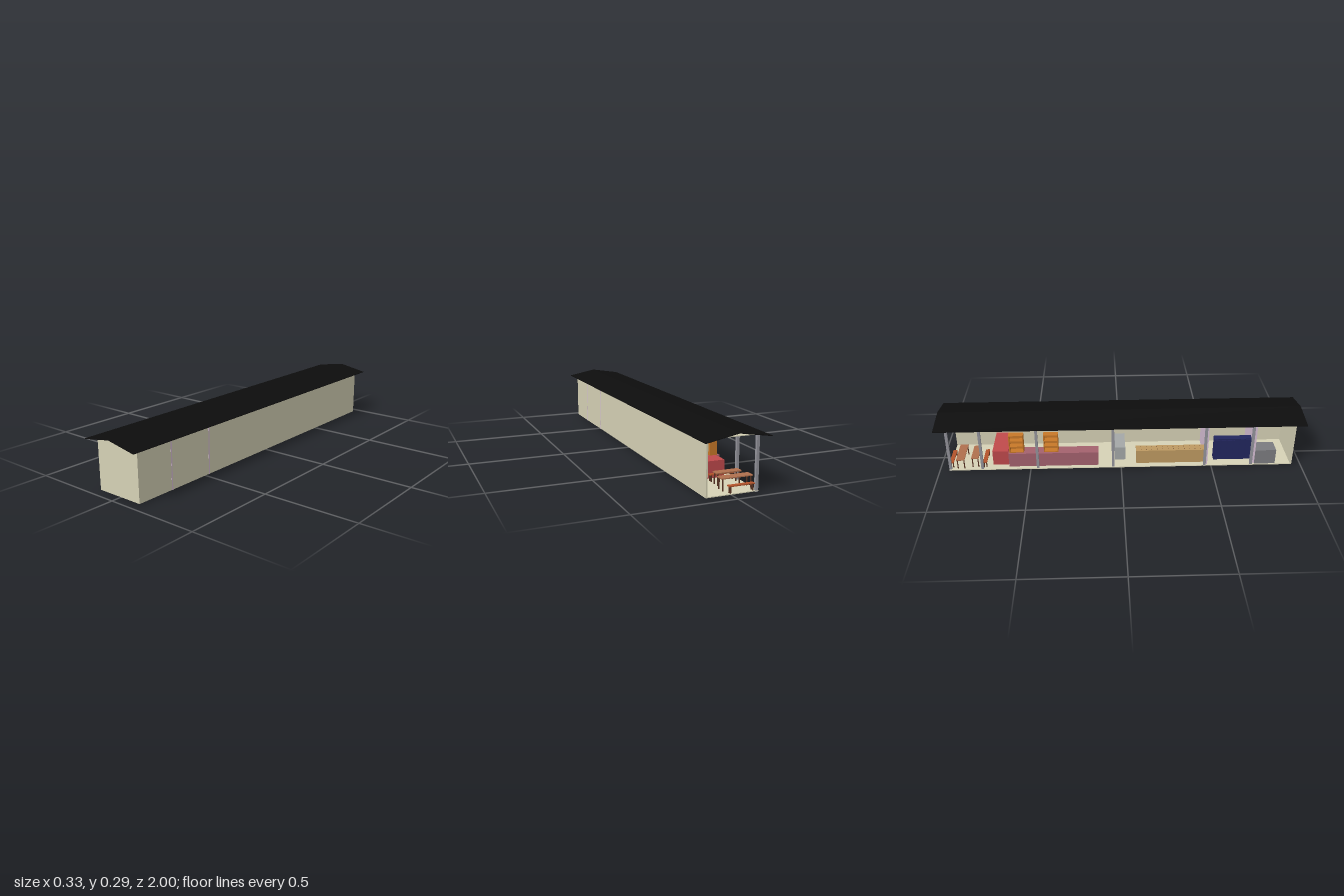
import * as THREE from 'three';

const COLORS = {
  wall: 0xd6d2b6, roof: 0x0d0d0d, post: 0x94949c, partition: 0xd8c0d6, rose: 0xa4626e,
  red: 0xc04a4c, shelf: 0xc87828, grey: 0xa4a8a8, darkGrey: 0x7c7c80, tan: 0xbe9a62,
  blue: 0x22265e, table: 0xb0704e, bench: 0xb4532a, leg: 0x5a3424,
};
const materials = {};
for (const key in COLORS) materials[key] = new THREE.MeshStandardMaterial({ color: COLORS[key] });

// Box given by its extents along each axis
function box(parent, name, color, [x0, x1], [y0, y1], [z0, z1]) {
  const mesh = new THREE.Mesh(new THREE.BoxGeometry(x1 - x0, y1 - y0, z1 - z0), materials[color]);
  mesh.position.set((x0 + x1) / 2, (y0 + y1) / 2, (z0 + z1) / 2);
  mesh.name = name;
  parent.add(mesh);
  return mesh;
}

function group(parent, name) {
  const g = new THREE.Group();
  g.name = name;
  parent.add(g);
  return g;
}

// Slab on four legs, used for tables and benches
function slabOnLegs(parent, name, color, xs, zs, height) {
  const g = group(parent, name);
  box(g, 'top', color, xs, [height - 0.005, height], zs);
  for (const x of [xs[0] + 0.006, xs[1] - 0.011])
    for (const z of [zs[0] + 0.002, zs[1] - 0.007])
      box(g, 'leg', 'leg', [x, x + 0.005], [0.002, height - 0.005], [z, z + 0.005]);
}

// Open shelf unit facing -x
function shelfUnit(parent, z0) {
  const g = group(parent, 'shelfUnit');
  const z1 = z0 + 0.08, y0 = 0.089, y1 = 0.196, x0 = -0.1, x1 = -0.062, t = 0.005;
  box(g, 'shelfBack', 'shelf', [x1 - t, x1], [y0, y1], [z0, z1]);
  box(g, 'shelfSide', 'shelf', [x0, x1], [y0, y1], [z0, z0 + t]);
  box(g, 'shelfSide', 'shelf', [x0, x1], [y0, y1], [z1 - t, z1]);
  for (let i = 0; i < 4; i++) {
    const y = y0 + i * (y1 - y0 - t) / 3;
    box(g, 'shelfBoard', 'shelf', [x0, x1], [y, y + t], [z0, z1]);
  }
}

export function createModel() {
  const model = new THREE.Group();
  model.name = 'longPavilion';

  // Shell: floor, ceiling, closed long wall and closed front end
  const shell = group(model, 'shell');
  box(shell, 'floor', 'wall', [-0.136, 0.13], [0.003, 0.007], [-0.947, 0.95]);
  box(shell, 'ceiling', 'wall', [-0.136, 0.13], [0.265, 0.269], [-0.947, 0.95]);
  box(shell, 'longWall', 'wall', [0.122, 0.13], [0.004, 0.268], [-0.947, 0.95]);
  box(shell, 'frontWall', 'wall', [-0.136, 0.13], [0.004, 0.268], [0.942, 0.95]);

  // Cross partitions
  for (const z of [0.475, 0.738])
    box(shell, 'partition', 'partition', [-0.125, 0.1305], [0.002, 0.268], [z - 0.004, z + 0.004]);

  // Posts along the open side
  for (const z of [-0.94, -0.765, -0.46, -0.045, 0.463, 0.722])
    box(shell, 'post', 'post', [-0.133, -0.119], [0, 0.268], [z - 0.007, z + 0.007]);

  // Thin gabled roof, open at the gables
  const profile = new THREE.Shape([
    [-0.165, 0.265], [0, 0.292], [0.162, 0.262], [0.162, 0.265], [0, 0.295], [-0.165, 0.268],
  ].map(([x, y]) => new THREE.Vector2(x, y)));
  const roof = new THREE.Mesh(
    new THREE.ExtrudeGeometry(profile, { depth: 2, bevelEnabled: false }), materials.roof);
  roof.position.z = -1;
  roof.name = 'roof';
  model.add(roof);

  // Seating at the open back end
  const seating = group(model, 'seating');
  slabOnLegs(seating, 'bench', 'bench', [-0.117, 0.013], [-0.945, -0.923], 0.043);
  slabOnLegs(seating, 'table', 'table', [-0.13, 0.03], [-0.905, -0.86], 0.068);
  slabOnLegs(seating, 'table', 'table', [-0.117, 0.013], [-0.825, -0.785], 0.068);
  slabOnLegs(seating, 'bench', 'bench', [-0.117, 0.013], [-0.762, -0.74], 0.043);

  // Serving counters
  const counters = group(model, 'counters');
  box(counters, 'redCounter', 'red', [-0.09, 0.112], [0.006, 0.092], [-0.71, -0.622]);
  box(counters, 'roseCounter', 'rose', [-0.112, -0.045], [0.006, 0.089], [-0.62, -0.125]);
  box(counters, 'greyCounter', 'grey', [-0.062, 0.09], [0.006, 0.086], [-0.032, 0.025]);
  shelfUnit(counters, -0.615);
  shelfUnit(counters, -0.425);

  // Tan bar with two rows of small studs on top
  const bar = group(model, 'bar');
  box(bar, 'barBody', 'tan', [-0.102, -0.054], [0.002, 0.085], [0.085, 0.465]);
  box(bar, 'barTop', 'tan', [-0.105, -0.05], [0.085, 0.089], [0.083, 0.47]);
  for (const x of [-0.092, -0.066])
    for (let i = 0; i < 12; i++) {
      const z = 0.11 + i * 0.03;
      box(bar, 'stud', 'leg', [x, x + 0.003], [0.089, 0.091], [z, z + 0.003]);
    }

  // Blue lockers with raised doors
  const lockers = group(model, 'lockers');
  box(lockers, 'lockerBody', 'blue', [-0.08, -0.042], [0.002, 0.14], [0.52, 0.728]);
  for (let i = 0; i < 6; i++) {
    const z = 0.523 + i * 0.034;
    box(lockers, 'lockerDoor', 'blue', [-0.084, -0.08], [0.012, 0.134], [z, z + 0.028]);
  }

  // Grey cabinet in the front room
  box(model, 'cabinet', 'darkGrey', [-0.13, -0.045], [0.002, 0.094], [0.743, 0.857]);

  return model;
}
